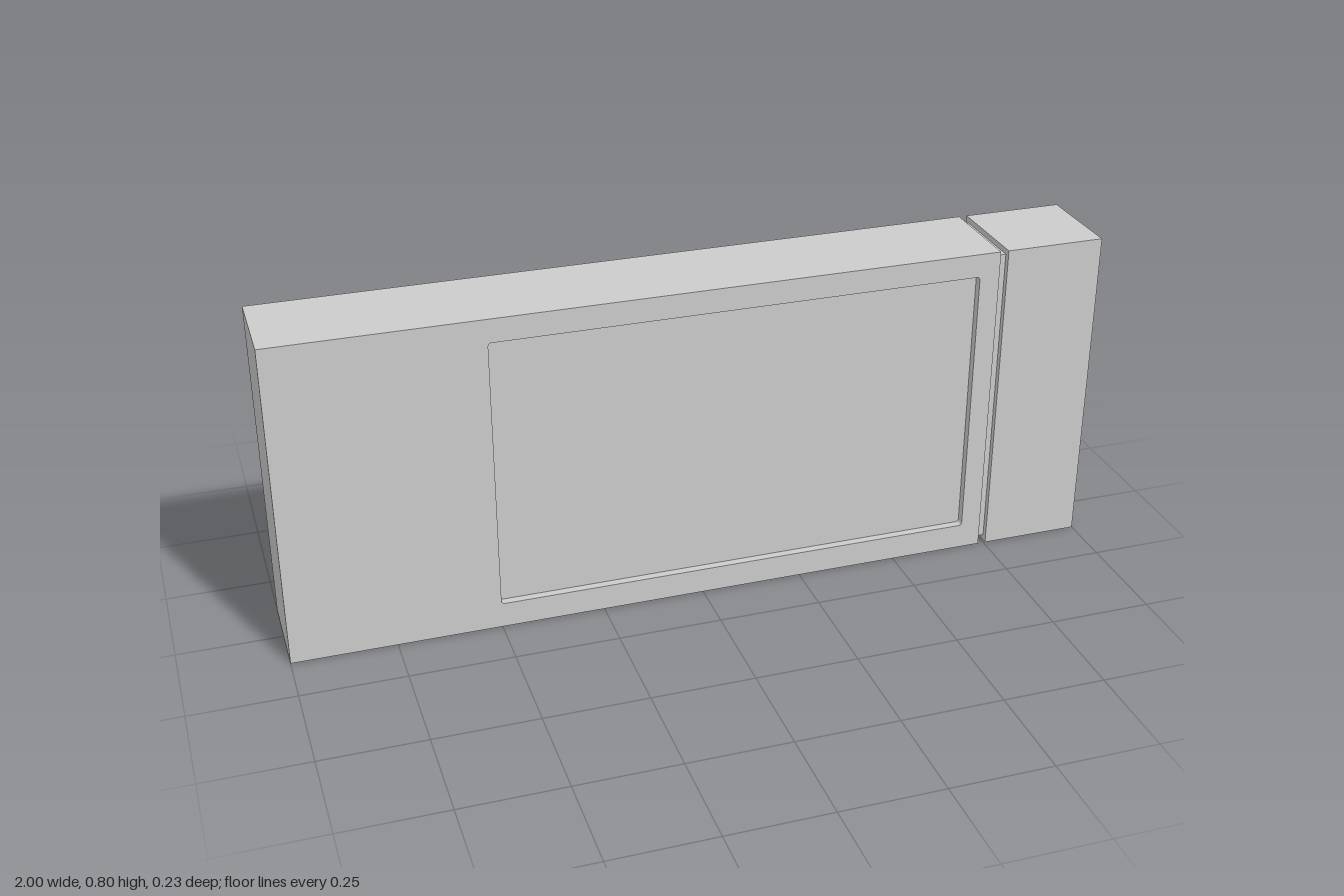
import * as THREE from 'three';

const HEIGHT = 0.8;
const DEPTH = 0.234;
const RECESS = 0.02; // depth of the screen recess
const BODY_END = 0.735; // where the body meets the seam
const CAP_START = 0.755;

const material = new THREE.MeshStandardMaterial({ color: 0xcccccc });

// Box given by its x range, with an inset on height and depth
function slab(name, x0, x1, inset = 0, z0 = -DEPTH / 2, z1 = DEPTH / 2) {
  const geometry = new THREE.BoxGeometry(x1 - x0, HEIGHT - 2 * inset, z1 - z0 - 2 * inset);
  geometry.translate((x0 + x1) / 2, HEIGHT / 2, (z0 + z1) / 2);
  const mesh = new THREE.Mesh(geometry, material);
  mesh.name = name;
  return mesh;
}

// Rounded rectangle path for the recess opening
function roundedRect(x0, y0, x1, y1, r) {
  const path = new THREE.Path();
  path.absarc(x1 - r, y1 - r, r, 0, Math.PI / 2);
  path.absarc(x0 + r, y1 - r, r, Math.PI / 2, Math.PI);
  path.absarc(x0 + r, y0 + r, r, Math.PI, Math.PI * 1.5);
  path.absarc(x1 - r, y0 + r, r, Math.PI * 1.5, Math.PI * 2);
  path.closePath();
  return path;
}

export function createModel() {
  const group = new THREE.Group();
  group.name = 'driveCase';
  const floorZ = DEPTH / 2 - RECESS;

  // Main body behind the recess floor
  group.add(slab('body', -1, BODY_END, 0, -DEPTH / 2, floorZ));

  // Front layer with the recessed panel cut through it
  const outline = new THREE.Shape([
    new THREE.Vector2(-1, 0),
    new THREE.Vector2(BODY_END, 0),
    new THREE.Vector2(BODY_END, HEIGHT),
    new THREE.Vector2(-1, HEIGHT),
  ]);
  outline.holes.push(roundedRect(-0.5, 0.063, 0.685, 0.742, 0.008));
  const frame = new THREE.Mesh(
    new THREE.ExtrudeGeometry(outline, { depth: RECESS, bevelEnabled: false, curveSegments: 4 }),
    material,
  );
  frame.name = 'frontFrame';
  frame.position.z = floorZ;
  group.add(frame);

  // Narrow neck in the seam, then the end cap
  group.add(slab('neck', BODY_END - 0.01, CAP_START + 0.01, 0.014));
  group.add(slab('endCap', CAP_START, 1));

  return group;
}
